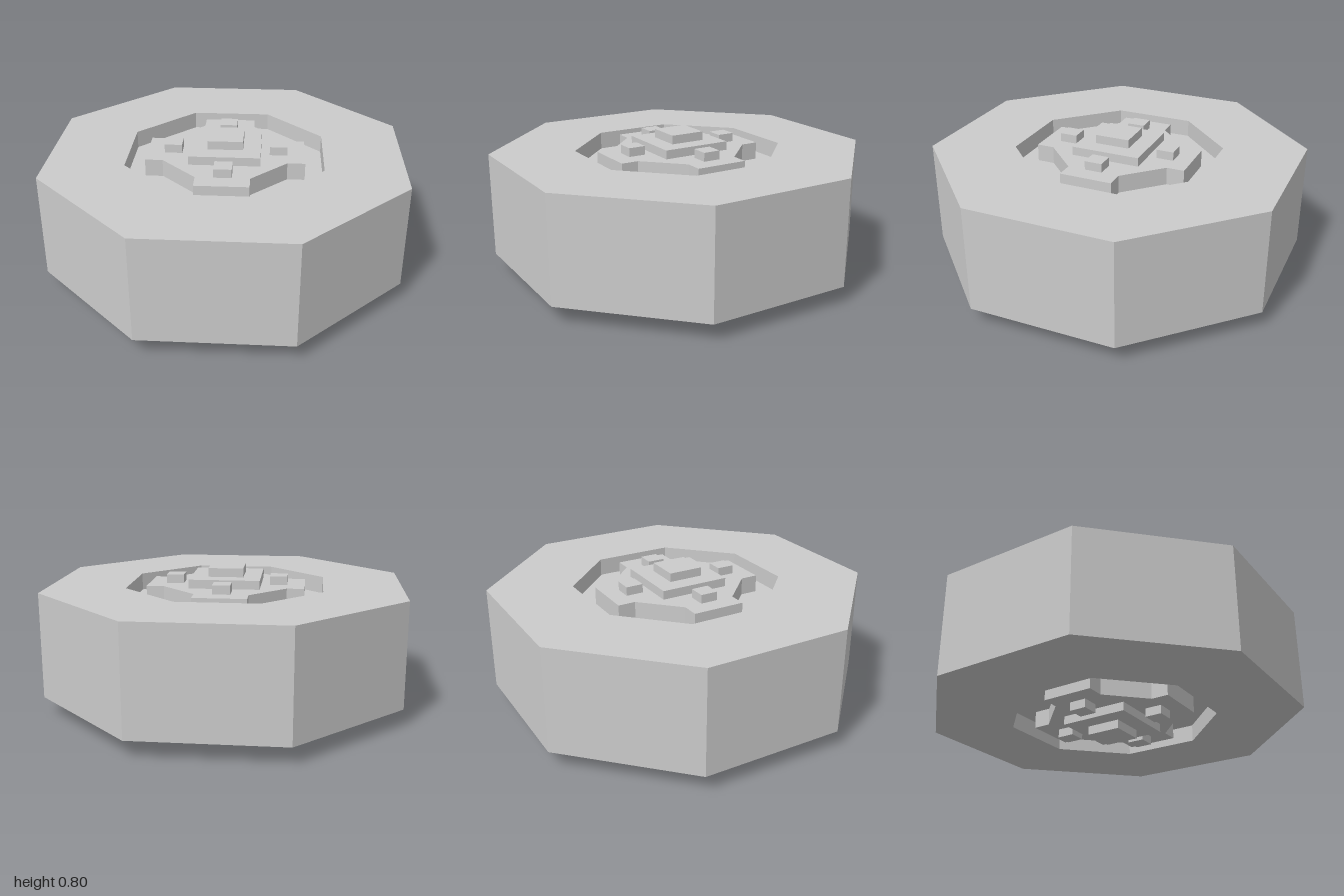
import * as THREE from 'three';

const material = new THREE.MeshStandardMaterial({ color: 0xcccccc, flatShading: true });
const MID = 0.4; // height of the mirror plane between the two faces

// Regular octagon with flat sides at distance r from the centre
function octagon(r) {
  const k = r * Math.tan(Math.PI / 8);
  return [[r, -k], [r, k], [k, r], [-k, r], [-r, k], [-r, -k], [-k, -r], [k, -r]]
    .map(([x, y]) => new THREE.Vector2(x, y));
}

// Four-armed cross with chamfered inner corners: one arm turned four times
function crossOutline() {
  const points = [];
  for (let i = 0; i < 4; i++) {
    for (const [x, y] of [[0.35, -0.15], [0.45, -0.15], [0.45, 0.15], [0.35, 0.15]]) {
      points.push(new THREE.Vector2(x, y).rotateAround(new THREE.Vector2(), i * Math.PI / 2));
    }
  }
  return points;
}

// Horizontal slab of the given outline, centred on the mirror plane
function slab(name, outline, height, hole) {
  const shape = new THREE.Shape(outline);
  if (hole) shape.holes.push(new THREE.Path(hole));
  const geometry = new THREE.ExtrudeGeometry(shape, { depth: height, bevelEnabled: false });
  geometry.translate(0, 0, -height / 2);
  geometry.rotateX(-Math.PI / 2);
  const mesh = new THREE.Mesh(geometry, material);
  mesh.name = name;
  mesh.position.y = MID;
  return mesh;
}

function box(name, width, x, y, z) {
  const mesh = new THREE.Mesh(new THREE.BoxGeometry(width, 0.05, width), material);
  mesh.name = name;
  mesh.position.set(x, y, z);
  return mesh;
}

export function createModel() {
  const model = new THREE.Group();
  model.name = 'octagonalWheel';

  // Thick outer ring, recessed floor and the cross standing in the recess
  model.add(
    slab('outerRing', octagon(1), 0.6, octagon(0.553)),
    slab('recessFloor', octagon(0.553), 0.4),
    slab('cross', crossOutline(), 0.6),
  );

  // Stepped hub and four studs on both faces
  for (const side of [1, -1]) {
    const face = new THREE.Group();
    face.name = side > 0 ? 'topHub' : 'bottomHub';
    face.add(
      box('hubBase', 0.4, 0, MID + side * 0.325, 0),
      box('hubCap', 0.2, 0, MID + side * 0.375, 0),
    );
    for (const [x, z] of [[0.3, 0], [-0.3, 0], [0, 0.3], [0, -0.3]]) {
      face.add(box('stud', 0.1, x, MID + side * 0.325, z));
    }
    model.add(face);
  }
  return model;
}
